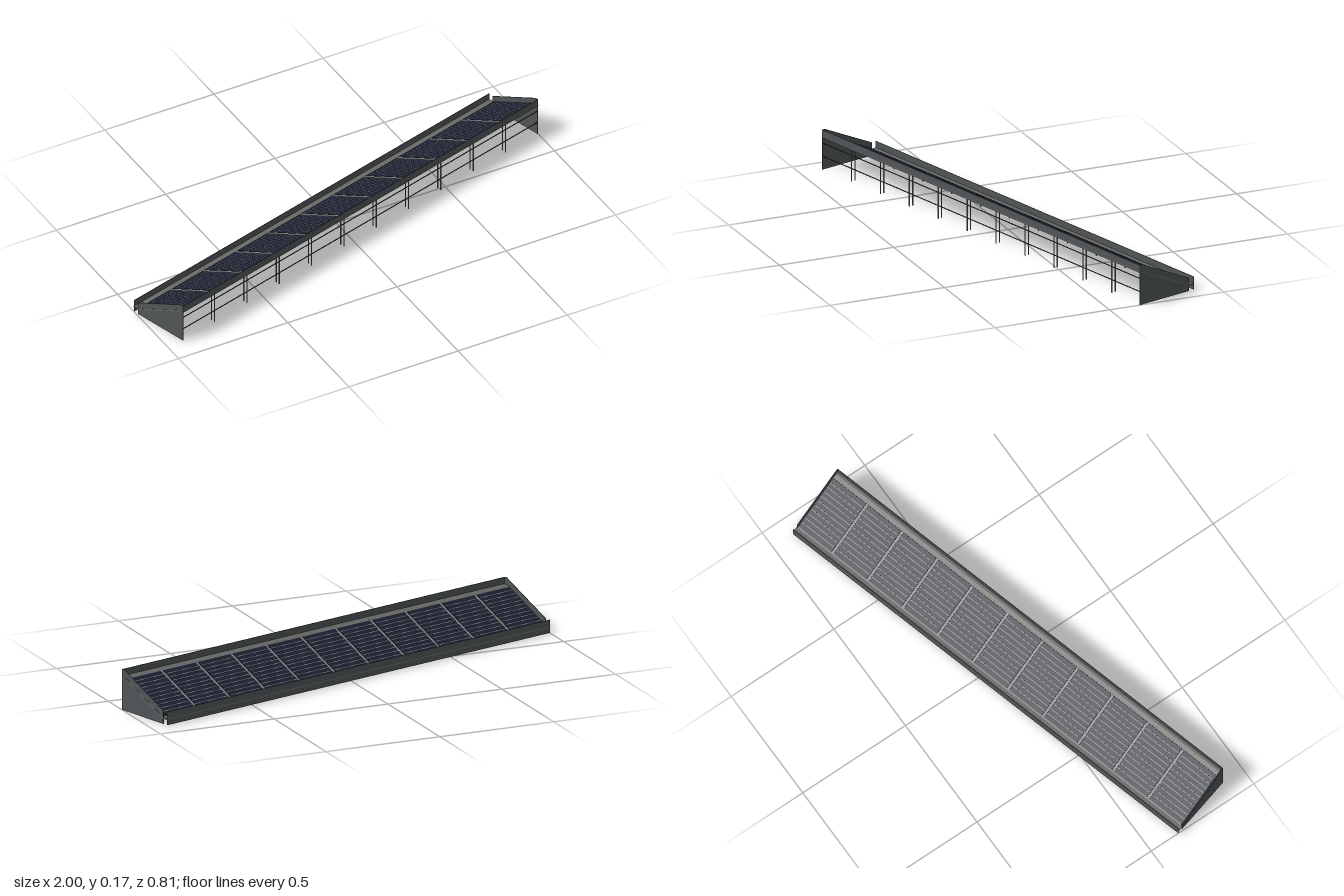
import * as THREE from 'three';

const mat = (name, hex) => {
  const m = new THREE.MeshStandardMaterial({ color: hex });
  m.name = name;
  return m;
};

export function createModel() {
  const root = new THREE.Group();
  root.name = 'solarCanopy';
  const array = new THREE.Group();
  array.name = 'rotatedArray';
  array.rotation.y = 0.271;
  root.add(array);

  const sheet = mat('sheet grey', 0x525658);
  const deckGrey = mat('deck grey', 0x6a6a68);
  const light = mat('light metal', 0x858583);
  const dark = mat('dark rail', 0x3c3d3d);
  const cell = mat('cell navy', 0x1a2032);

  const add = (parent, name, geo, m, x = 0, y = 0, z = 0) => {
    const mesh = new THREE.Mesh(geo, m);
    mesh.name = name;
    mesh.position.set(x, y, z);
    parent.add(mesh);
    return mesh;
  };
  const box = (parent, name, m, w, h, d, x, y, z) =>
    add(parent, name, new THREE.BoxGeometry(w, h, d), m, x, y, z);

  // Extrudes a side profile of (depth, height) points along the array
  const profile = (name, pts, length, m, x = 0) => {
    const shape = new THREE.Shape(pts.map(p => new THREE.Vector2(...p)));
    const geo = new THREE.ExtrudeGeometry(shape, { depth: length, bevelEnabled: false });
    geo.translate(0, 0, -length / 2).rotateY(-Math.PI / 2);
    return add(array, name, geo, m, x);
  };

  // Half depth, and where the slope meets the level strips at front and back
  const W = 0.14, F = 0.126, B = -0.1155;
  const HIGH = 0.17, LOW = 0.055, DROP = 0.028;

  // Thin sloping deck, sunk below the rims; its edge shows at both ends
  const deckLine = d => [[W, HIGH - d], [F, HIGH - d], [B, LOW - d], [-W, LOW - d]];
  profile('deck', [...deckLine(DROP), ...deckLine(DROP + 0.005).reverse()], 2, deckGrey);

  // Front fascia and the back wall that reaches the ground
  box(array, 'frontFascia', sheet, 1.998, 0.032, 0.002, 0, 0.154, W - 0.001);
  box(array, 'backWall', sheet, 1.998, LOW, 0.002, 0, LOW / 2, -W + 0.001);

  // End walls rise past the deck as rims and stop short of the back wall
  for (const s of [-1, 1])
    profile('endWall', [[B, 0], [W, 0], [W, HIGH], [F, HIGH], [B, LOW]], 0.003, sheet, s * 0.9975);

  // Solar panels lying on the deck
  const bays = 11, pitch = 2 / bays, depth = 0.241, shift = -0.006;
  const slope = new THREE.Group();
  slope.name = 'panelSlope';
  slope.position.set(0, (HIGH + LOW) / 2 - DROP, (F + B) / 2);
  slope.rotation.x = -Math.atan2(HIGH - LOW, F - B);
  array.add(slope);
  for (let i = 0; i < bays; i++) {
    const x = -1 + (i + 0.5) * pitch;
    box(slope, 'solarPanel', cell, pitch - 0.012, 0.004, depth, x, 0.001, shift);
    for (let r = 1; r < 11; r++)
      box(slope, 'cellLine', light, pitch - 0.016, 0.001, 0.003, x, 0.003, shift + depth * (r / 11 - 0.5));
  }

  // Panel dividers, front post pairs and short rear posts
  for (let i = 1; i < bays; i++) {
    const x = -1 + i * pitch;
    box(slope, 'panelDivider', light, 0.01, 0.002, depth, x, 0.001, shift);
    for (const w of [0.1365, 0.119])
      box(array, 'frontPost', light, 0.004, 0.138, 0.003, x, 0.069, w);
    box(array, 'rearPost', light, 0.004, 0.038, 0.003, x, 0.019, -0.083);
  }

  // Thin rails between the front posts
  for (const y of [0.057, 0.113])
    box(array, 'frontRail', dark, 1.99, 0.003, 0.003, 0, y, 0.1385);

  return root;
}
